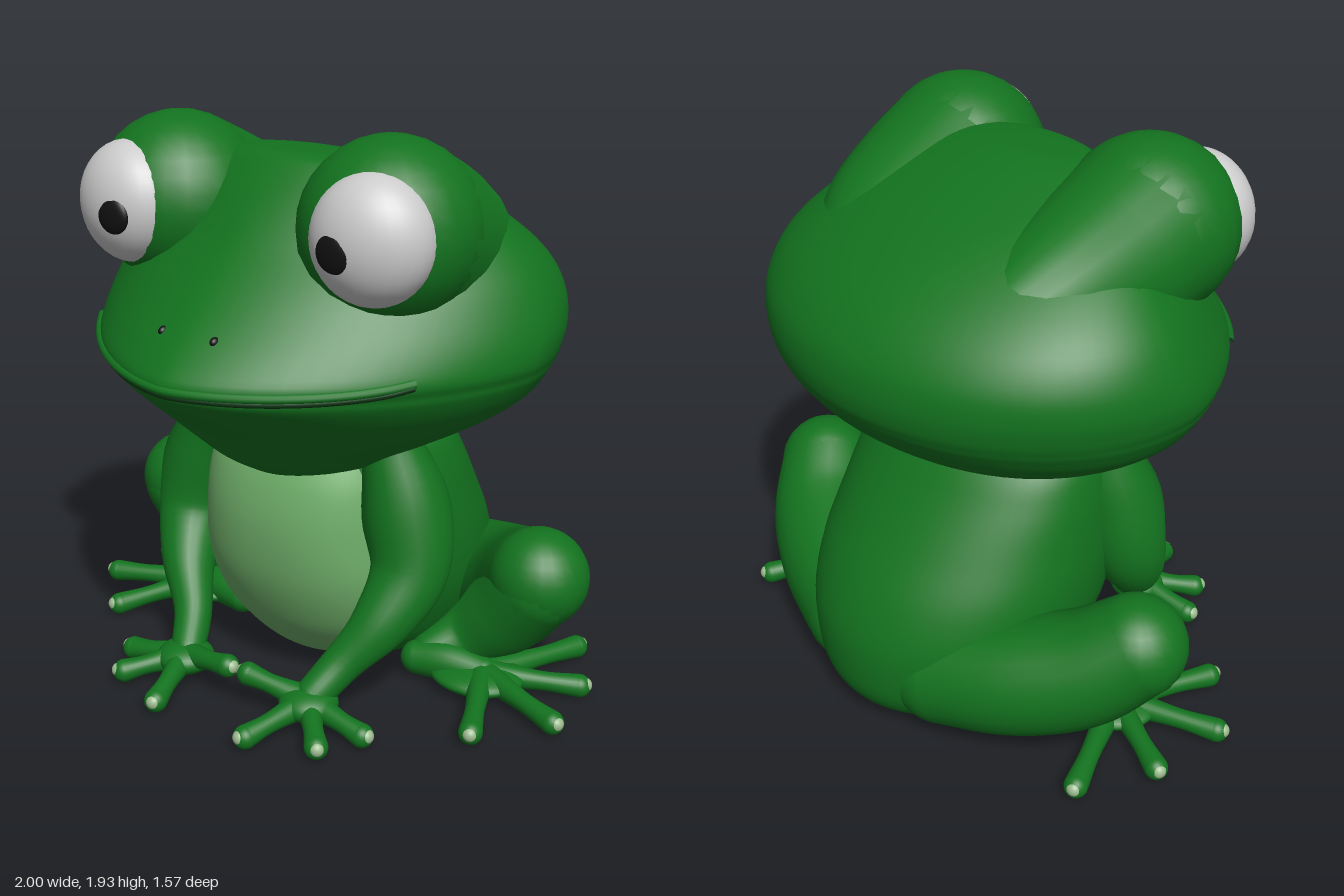
import * as THREE from 'three';
import { mergeGeometries } from 'three/addons/utils/BufferGeometryUtils.js';

const mat = (color) => new THREE.MeshStandardMaterial({ color });
const V = (x, y, z) => new THREE.Vector3(x, y, z);
const spow = (v, e) => Math.sign(v) * Math.pow(Math.abs(v), e);
const smooth = (pts) => new THREE.CatmullRomCurve3(pts, false, 'catmullrom', 0.5);

// Surface through rows [y, frontZ, backZ, halfWidth, frontRoundness]: returns point(t, angle)
function loftSurface(rows, k) {
  const profile = smooth(rows.map((r) => V(r[1], r[0], r[2])));
  const shape = smooth(rows.map((r) => V(r[3], r[4] ?? 2.2, 0)));
  return (t, a) => {
    const p = profile.getPoint(t), w = shape.getPoint(t);
    const mid = p.z + (p.x - p.z) * k;
    const c = Math.cos(a), s = Math.sin(a), e = 2 / (c > 0 ? w.y : 2);
    return V(w.x * spow(s, e), p.y, mid + (c > 0 ? p.x - mid : mid - p.z) * spow(c, e));
  };
}

// Closed skin over a loft surface
function loftGeometry(surface, steps = 48, sides = 64) {
  const pos = [], idx = [];
  for (let i = 0; i <= steps; i++)
    for (let j = 0; j < sides; j++)
      pos.push(...surface(i / steps, (j / sides) * Math.PI * 2).toArray());
  const bottom = (steps + 1) * sides, top = bottom + 1;
  for (const t of [0, 1])
    pos.push(...surface(t, 0).add(surface(t, Math.PI)).multiplyScalar(0.5).toArray());
  for (let j = 0; j < sides; j++) {
    const n = (j + 1) % sides, last = steps * sides;
    for (let i = 0; i < steps; i++) {
      const a = i * sides + j, b = i * sides + n;
      idx.push(a, b, a + sides, b, b + sides, a + sides);
    }
    idx.push(bottom, n, j, top, last + j, last + n);
  }
  const g = new THREE.BufferGeometry();
  g.setAttribute('position', new THREE.Float32BufferAttribute(pos, 3));
  g.setIndex(idx);
  g.computeVertexNormals();
  return g;
}

// Round limb through points [x, y, z, radius], with ball ends
function limbGeometry(pts, sides = 24) {
  const n = 24, curve = new THREE.CatmullRomCurve3(pts.map((p) => V(p[0], p[1], p[2])));
  const radii = smooth(pts.map((p) => V(p[3], 0, 0)));
  const tube = new THREE.TubeGeometry(curve, n, 1, sides);
  const attr = tube.attributes.position, v = V(0, 0, 0);
  for (let i = 0; i < attr.count; i++) {
    const t = Math.floor(i / (sides + 1)) / n, c = curve.getPointAt(t);
    v.fromBufferAttribute(attr, i).sub(c).multiplyScalar(radii.getPoint(t).x).add(c);
    attr.setXYZ(i, v.x, v.y, v.z);
  }
  const ends = [pts[0], pts[pts.length - 1]].map((p) =>
    new THREE.SphereGeometry(p[3], sides, 16).translate(p[0], p[1], p[2]));
  return mergeGeometries([tube, ...ends]);
}

export function createModel() {
  const frog = new THREE.Group();
  frog.name = 'frog';
  const green = mat(0x13731f), pale = mat(0x6fae69), dark = mat(0x0a3511);
  const white = mat(0xcccccc), black = mat(0x111111), tipColor = mat(0x9dbb90);

  const add = (name, geometry, material, parent = frog) => {
    const m = new THREE.Mesh(geometry, material);
    m.name = name;
    parent.add(m);
    return m;
  };
  const ball = (name, material, at, size, parent) => {
    const m = add(name, new THREE.SphereGeometry(1, 32, 20), material, parent);
    m.position.set(...at);
    m.scale.set(...size);
    return m;
  };

  // Head: wide, round under the chin, pointed at the snout, sloping up to the brow
  const headRows = [
    [0.79, 0.27, 0.0, 0.14, 2.2], [0.84, 0.35, -0.22, 0.32, 2.1], [0.91, 0.43, -0.41, 0.45, 2],
    [1.0, 0.53, -0.55, 0.61, 1.85], [1.09, 0.645, -0.66, 0.73, 1.7],
    [1.165, 0.735, -0.72, 0.785, 1.62], [1.2, 0.755, -0.74, 0.8, 1.6],
    [1.24, 0.775, -0.755, 0.815, 1.58], [1.31, 0.715, -0.76, 0.82, 1.6],
    [1.4, 0.62, -0.74, 0.8, 1.65], [1.5, 0.515, -0.67, 0.75, 1.7], [1.6, 0.415, -0.55, 0.66, 1.7],
    [1.7, 0.33, -0.38, 0.54, 1.8], [1.79, 0.25, -0.17, 0.39, 2], [1.835, 0.2, -0.04, 0.24, 2],
    [1.845, 0.13, 0.03, 0.08, 2],
  ];
  const head = loftSurface(headRows, 0.45);
  add('head', loftGeometry(head, 60, 72), green);

  // Mouth: dark crease with a lip above it, following the head surface
  const mouthLine = (row, lift) => {
    const pts = [];
    for (let i = -16; i <= 16; i++) {
      const u = i / 16;
      pts.push(head((row + lift * u ** 4) / (headRows.length - 1), u * 0.94));
    }
    return new THREE.CatmullRomCurve3(pts);
  };
  add('mouthCrease', new THREE.TubeGeometry(mouthLine(6, 1), 96, 0.012, 8), dark);
  add('upperLip', new THREE.TubeGeometry(mouthLine(6.6, 0.6), 96, 0.014, 10), green);

  // Body: upright torso, round rump, pale belly
  const torso = loftSurface([
    [0.01, -0.08, -0.6, 0.24], [0.04, 0.02, -0.7, 0.33], [0.11, 0.1, -0.76, 0.4],
    [0.21, 0.17, -0.78, 0.45], [0.35, 0.24, -0.77, 0.49], [0.5, 0.27, -0.71, 0.5],
    [0.65, 0.27, -0.61, 0.49], [0.8, 0.23, -0.5, 0.47], [0.92, 0.2, -0.41, 0.43],
    [1.02, 0.15, -0.3, 0.32],
  ], 0.5);
  add('torso', loftGeometry(torso), green);
  const belly = loftSurface([
    [0.02, 0.0, -0.4, 0.14], [0.07, 0.09, -0.4, 0.23], [0.15, 0.17, -0.35, 0.3],
    [0.26, 0.24, -0.3, 0.36], [0.42, 0.3, -0.3, 0.39], [0.6, 0.32, -0.3, 0.38],
    [0.75, 0.3, -0.25, 0.36], [0.88, 0.25, -0.2, 0.32],
  ], 0.5);
  add('belly', loftGeometry(belly), pale);

  for (const s of [1, -1]) {
    const side = new THREE.Group();
    side.name = s > 0 ? 'leftSide' : 'rightSide';
    frog.add(side);
    const limb = (name, pts) =>
      add(name, limbGeometry(pts.map(([x, y, z, r]) => [s * x, y, z, r])), green, side);

    // Digits spread from a palm, each with a pale rounded tip
    const digits = (name, root, tips) => {
      for (const [x, y, z] of tips) {
        const mid = (k, r) => [root[0] + (x - root[0]) * k, root[1] + (y - root[1]) * k,
          root[2] + (z - root[2]) * k, r];
        limb(name, [mid(0, 0.052), mid(0.5, 0.04), mid(0.82, 0.033), [x, y, z, 0.04]]);
        const d = V(x - root[0], 0, z - root[2]).normalize();
        ball(name + 'Tip', tipColor, [s * (x + d.x * 0.018), y + 0.005, z + d.z * 0.018],
          [0.026, 0.026, 0.026], side);
      }
    };

    // Eye bulge tapering back into the head, eyeball and pupil
    limb('eyeBulge', [
      [0.412, 1.65, 0.18, 0.288], [0.405, 1.6, 0.03, 0.265], [0.38, 1.53, -0.2, 0.22],
      [0.32, 1.45, -0.42, 0.14],
    ]);
    const eye = ball('eyeball', white, [s * 0.468, 1.66, 0.36], [0.195, 0.2, 0.15], side);
    eye.rotation.y = s * 0.18;
    ball('pupil', black, [s * 0.425, 1.64, 0.496], [0.062, 0.06, 0.022], side);

    // Nostril
    ball('nostril', black, [s * 0.1, 1.355, 0.64], [0.014, 0.016, 0.02], side);

    // Front leg and hand
    limb('frontLeg', [
      [0.35, 0.88, 0.05, 0.11], [0.415, 0.72, 0.07, 0.15], [0.457, 0.5, 0.1, 0.135],
      [0.41, 0.33, 0.2, 0.105], [0.32, 0.19, 0.29, 0.072], [0.27, 0.1, 0.38, 0.06],
    ]);
    ball('hand', green, [s * 0.265, 0.08, 0.4], [0.1, 0.055, 0.1], side);
    digits('finger', [0.265, 0.085, 0.4],
      [[0.045, 0.13, 0.44], [0.19, 0.045, 0.645], [0.41, 0.045, 0.56], [0.49, 0.045, 0.42]]);

    // Hind leg folded beside the body
    limb('thigh', [
      [0.22, 0.21, -0.54, 0.19], [0.46, 0.265, -0.45, 0.195], [0.65, 0.34, -0.33, 0.195],
      [0.77, 0.435, -0.22, 0.17],
    ]);
    limb('shin', [
      [0.77, 0.41, -0.2, 0.15], [0.66, 0.28, -0.21, 0.15], [0.52, 0.15, -0.2, 0.11],
      [0.42, 0.085, -0.12, 0.07],
    ]);
    limb('heel', [[0.39, 0.07, -0.08, 0.06], [0.5, 0.08, -0.1, 0.07], [0.62, 0.065, -0.13, 0.055]]);
    ball('foot', green, [s * 0.6, 0.055, -0.13], [0.17, 0.045, 0.15], side);
    digits('toe', [0.62, 0.06, -0.13],
      [[0.765, 0.045, 0.2], [0.955, 0.05, 0.0], [0.92, 0.045, -0.27], [0.79, 0.045, -0.51]]);
  }
  return frog;
}
